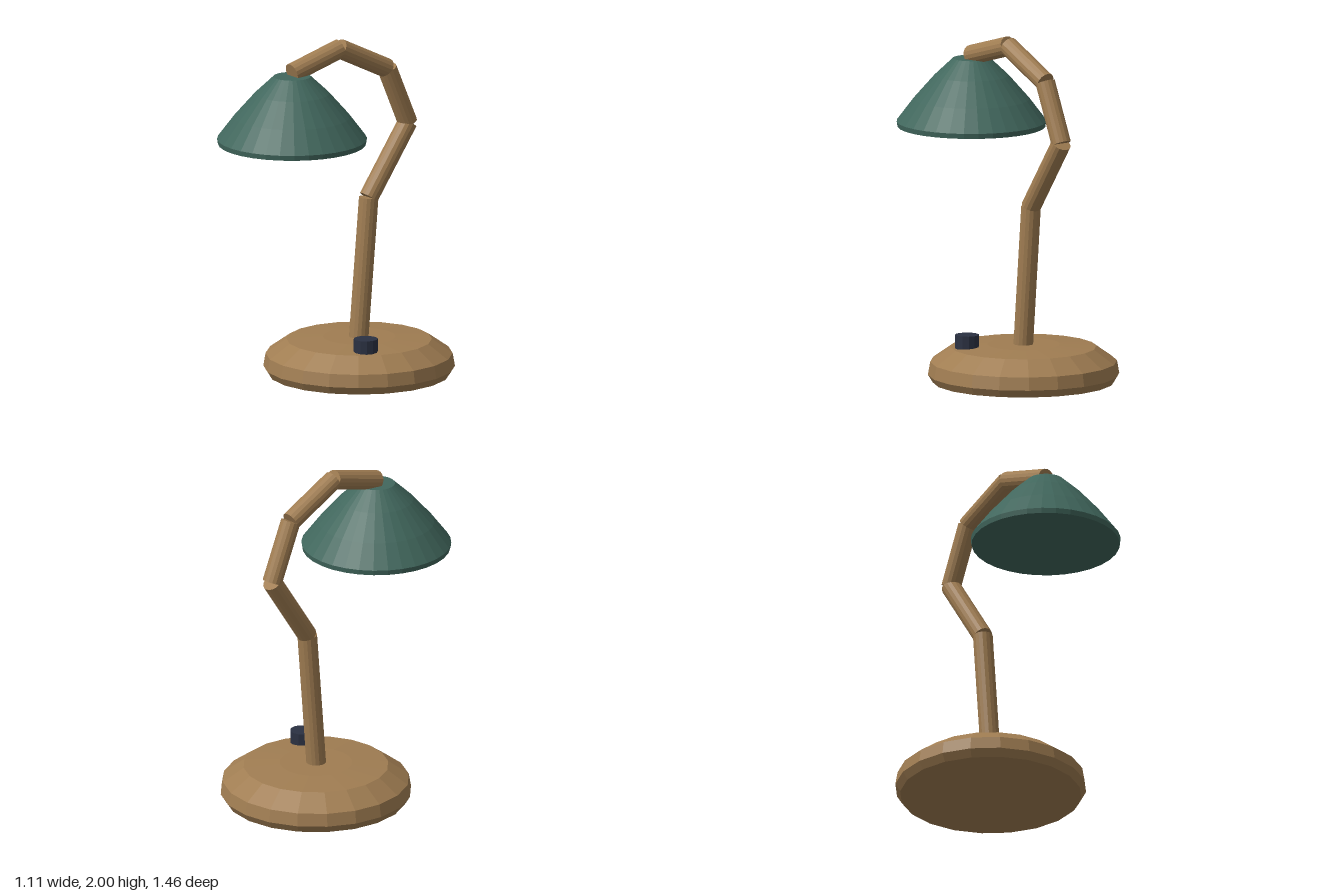
import * as THREE from 'three';

function material(name, color) {
  const m = new THREE.MeshStandardMaterial({ color });
  m.name = name;
  m.flatShading = true;
  return m;
}

export function createModel() {
  const wood = material('wood', 0xa07d52);
  const green = material('shadeGreen', 0x41675d);
  const navy = material('knobNavy', 0x2b3142);
  const lamp = new THREE.Group();
  lamp.name = 'deskLamp';

  function add(name, geometry, mat, x, y, z) {
    const mesh = new THREE.Mesh(geometry, mat);
    mesh.name = name;
    mesh.position.set(x, y, z);
    lamp.add(mesh);
    return mesh;
  }

  // Closed solid of revolution from [radius, height] pairs, bottom to top
  const turned = (profile, sides) =>
    new THREE.LatheGeometry(profile.map(([r, y]) => new THREE.Vector2(r, y)), sides);

  // Heavy turned base
  add('base', turned([
    [0, 0], [0.525, 0], [0.553, 0.045], [0.54, 0.12], [0.42, 0.205], [0.21, 0.22], [0, 0.22],
  ], 20), wood, 0, 0, -0.178);

  // Switch knob on the base
  add('knob', new THREE.CylinderGeometry(0.07, 0.07, 0.085, 12), navy, 0.29, 0.2425, -0.017);

  // Bent arm: straight rods between joints given as [y, z]
  const joints = [
    [0.2, -0.174], [1.035, -0.246], [1.443, -0.522],
    [1.783, -0.376], [1.947, -0.04], [1.849, 0.299],
  ].map(([y, z]) => new THREE.Vector3(0, y, z));
  const up = new THREE.Vector3(0, 1, 0);
  for (let i = 0; i < joints.length - 1; i++) {
    const dir = joints[i + 1].clone().sub(joints[i]);
    const mid = joints[i].clone().add(joints[i + 1]).multiplyScalar(0.5);
    const rod = add(`armRod${i + 1}`,
      new THREE.CylinderGeometry(0.057, 0.057, dir.length(), 16), wood, mid.x, mid.y, mid.z);
    rod.quaternion.setFromUnitVectors(up, dir.normalize());
  }

  // Flared shade with a narrow rim and closed underside
  add('shade', turned([
    [0, 1.432], [0.428, 1.432], [0.433, 1.462], [0.335, 1.592],
    [0.214, 1.73], [0.108, 1.83], [0, 1.83],
  ], 32), green, 0, 0, 0.298);

  return lamp;
}
